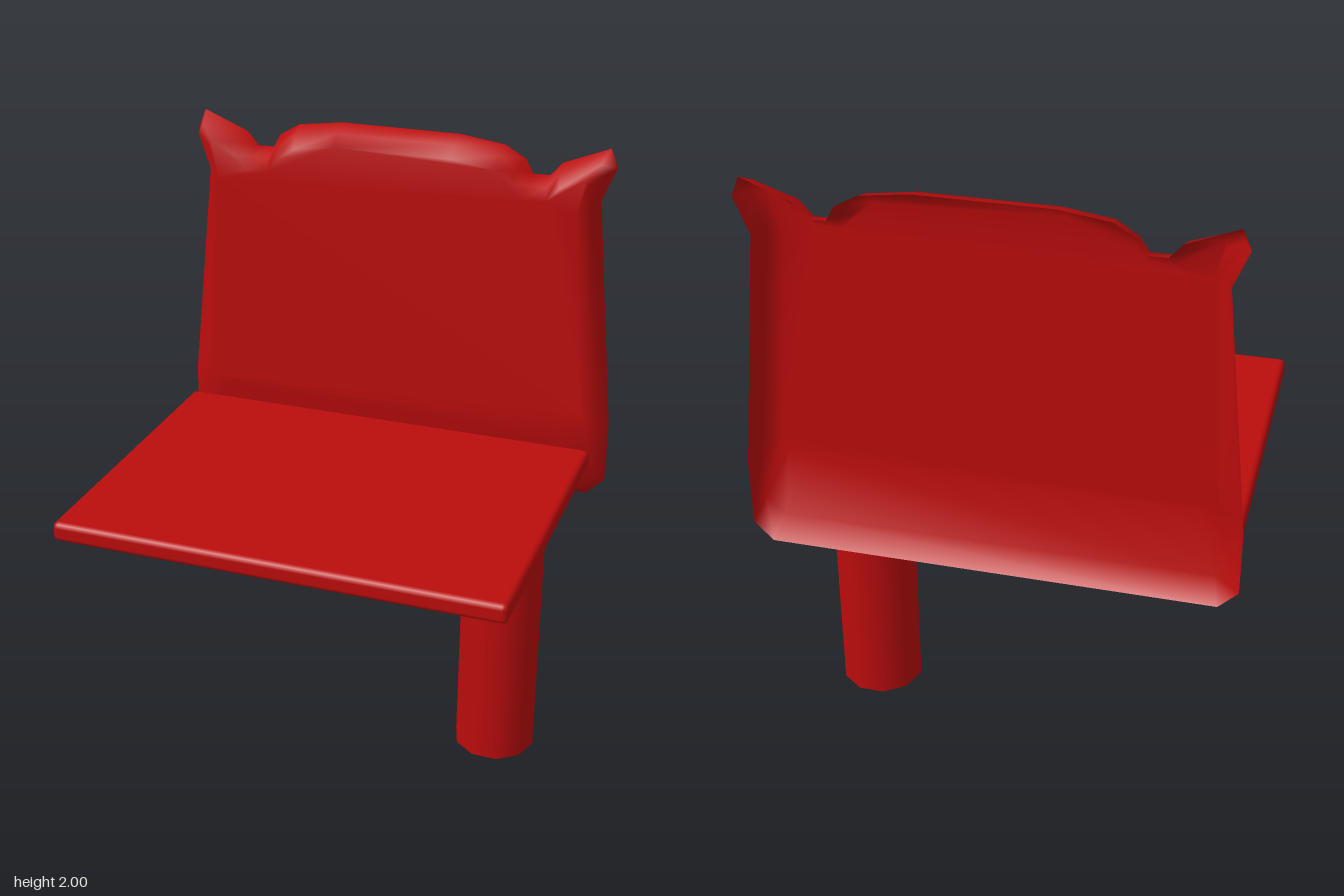
import * as THREE from 'three';
import { RoundedBoxGeometry } from 'three/addons/geometries/RoundedBoxGeometry.js';

const material = new THREE.MeshStandardMaterial({ color: 0xbb0c0c, side: THREE.DoubleSide });

// Half outlines of the backrest, from the bottom corner up to the top edge
const rim = [[0.69, 0.79], [0.75, 0.85], [0.75, 1.06], [0.67, 1.83], [0.715, 1.94], [0.69, 2.0],
  [0.54, 1.94], [0.5, 1.895], [0.445, 1.895], [0.42, 1.94], [0.35, 1.98], [0.2, 2.0]];
const shoulder = [[0.67, 0.855], [0.73, 0.9], [0.73, 1.07], [0.65, 1.82], [0.69, 1.935], [0.675, 1.965],
  [0.545, 1.92], [0.505, 1.875], [0.44, 1.875], [0.41, 1.92], [0.345, 1.96], [0.2, 1.98]];
const face = [[0.6, 1.06], [0.655, 1.07], [0.67, 1.12], [0.61, 1.8], [0.64, 1.9], [0.635, 1.92],
  [0.55, 1.88], [0.51, 1.835], [0.435, 1.835], [0.4, 1.88], [0.34, 1.92], [0.2, 1.94]];

// Mirrors a half outline into a closed loop at depth z
function loop(half, z) {
  const other = half.map(([x, y]) => [-x, y]).reverse();
  return [...half, ...other].map(([x, y]) => new THREE.Vector3(x, y, z));
}

// Open-backed shell: three loops stepping forward, closed by the front panel
function shellGeometry() {
  const loops = [loop(rim, -0.58), loop(shoulder, -0.515), loop(face, -0.49)];
  const n = loops[0].length;
  const index = [];
  for (let r = 0; r < 2; r++) {
    for (let i = 0; i < n; i++) {
      const a = r * n + i, b = r * n + (i + 1) % n;
      index.push(a, b, b + n, a, b + n, a + n);
    }
  }
  const front = loops[2].map((p) => new THREE.Vector2(p.x, p.y));
  for (const tri of THREE.ShapeUtils.triangulateShape(front, [])) {
    index.push(...tri.map((i) => i + 2 * n));
  }
  const geometry = new THREE.BufferGeometry().setFromPoints(loops.flat());
  geometry.setIndex(index);
  geometry.computeVertexNormals();
  return geometry;
}

export function createModel() {
  const group = new THREE.Group();
  const add = (name, geometry, x = 0, y = 0, z = 0) => {
    const mesh = new THREE.Mesh(geometry, material);
    mesh.name = name;
    mesh.position.set(x, y, z);
    group.add(mesh);
    return mesh;
  };

  add('backrest', shellGeometry());
  add('seat', new RoundedBoxGeometry(1.445, 0.065, 1.065, 2, 0.018), -0.012, 0.9675, 0.0425);

  // Off-centre hollow post, open at the foot
  const post = add('post', new THREE.CylinderGeometry(0.137, 0.137, 0.94, 10, 1, true), 0.508, 0.47, -0.175);
  post.rotation.y = Math.PI / 2;

  return group;
}
